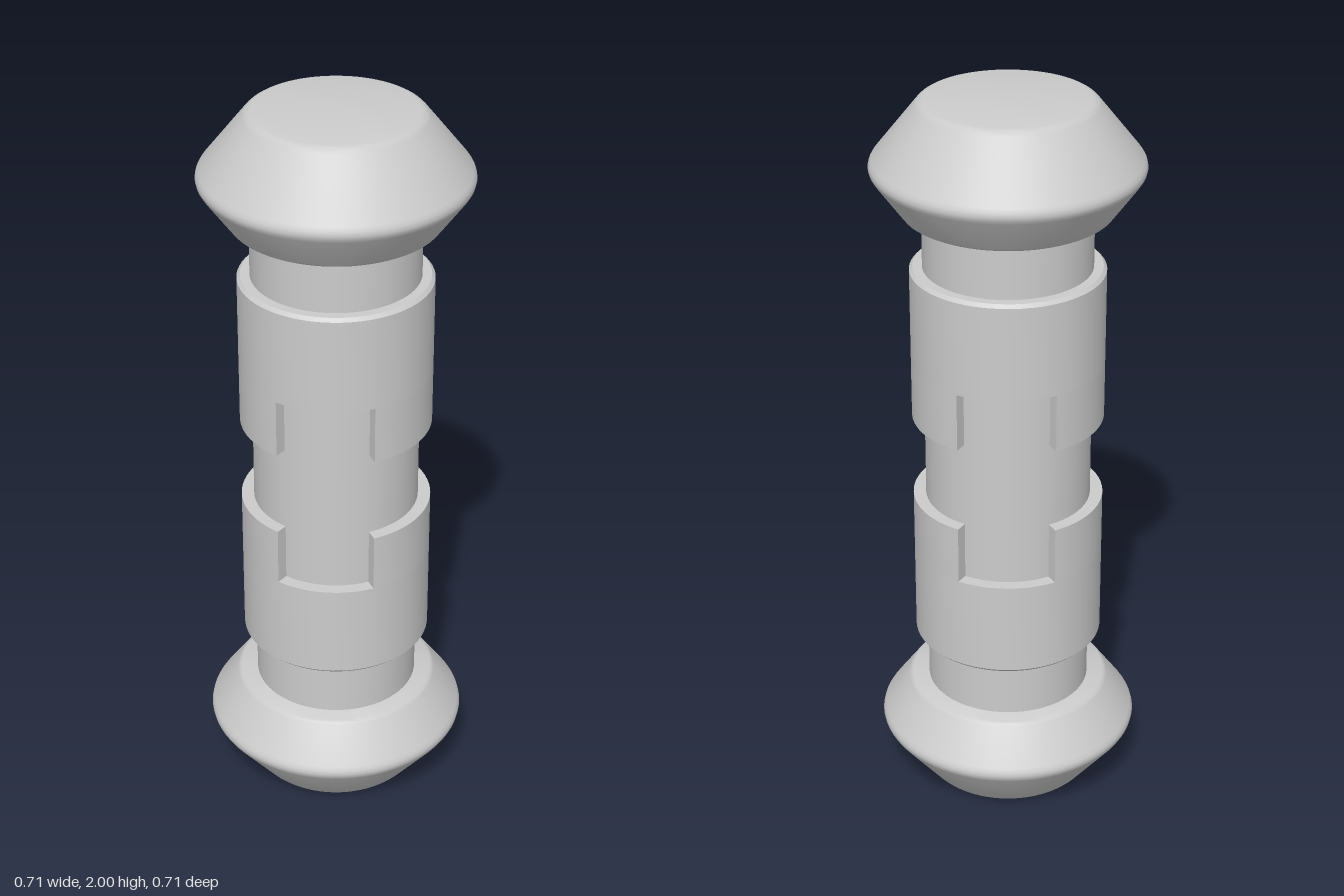
import * as THREE from 'three';
import { toCreasedNormals } from 'three/addons/utils/BufferGeometryUtils.js';

const material = new THREE.MeshStandardMaterial({ color: 0xcccccc });
const SEGMENTS = 72;

function part(name, geometry) {
  const mesh = new THREE.Mesh(toCreasedNormals(geometry, 0.55), material);
  mesh.name = name;
  return mesh;
}

// Profile points are [radius, height], running upwards on the outside
function lathe(name, profile) {
  const points = profile.map(([r, y]) => new THREE.Vector2(r, y));
  return part(name, new THREE.LatheGeometry(points, SEGMENTS));
}

// One half: end cap, sleeve and its two tabs; heights are above the middle
function createHalf(name) {
  const half = new THREE.Group();
  half.name = name;

  // Double-tapered cap with softened edges
  half.add(lathe('endCap', [
    [0, 0.702], [0.268, 0.702], [0.275, 0.706], [0.279, 0.711],
    [0.347, 0.805], [0.353, 0.815], [0.3555, 0.825], [0.353, 0.836], [0.347, 0.846],
    [0.236, 0.986], [0.229, 0.993], [0.221, 0.998], [0.212, 1], [0, 1],
  ]));

  // Sleeve ring, chamfered on its outer end
  const inner = 0.215, outer = 0.257;
  half.add(lathe('sleeve', [
    [inner, 0.28], [outer, 0.28], [outer, 0.54], [0.248, 0.549], [inner, 0.549],
  ]));

  // Tabs cover 120 degrees on each side, leaving notches at front and back
  const sector = new THREE.Shape();
  sector.absarc(0, 0, outer, -Math.PI / 3, Math.PI / 3, false);
  sector.absarc(0, 0, inner, Math.PI / 3, -Math.PI / 3, true);
  for (const [side, turn] of [['left', 0], ['right', Math.PI]]) {
    const geometry = new THREE.ExtrudeGeometry(sector, {
      depth: 0.161, bevelEnabled: false, curveSegments: 12,
    });
    geometry.rotateX(-Math.PI / 2).rotateY(turn).translate(0, 0.119, 0);
    half.add(part(side + 'Tab', geometry));
  }
  half.position.y = 1;
  return half;
}

export function createModel() {
  const model = new THREE.Group();
  model.name = 'pin';

  // Central shaft running between the caps
  const shaft = part('shaft', new THREE.CylinderGeometry(0.223, 0.223, 1.42, SEGMENTS));
  shaft.position.y = 1;
  model.add(shaft);

  // The lower half is the upper one turned over
  const lower = createHalf('lowerHalf');
  lower.rotation.z = Math.PI;
  model.add(createHalf('upperHalf'), lower);
  return model;
}
